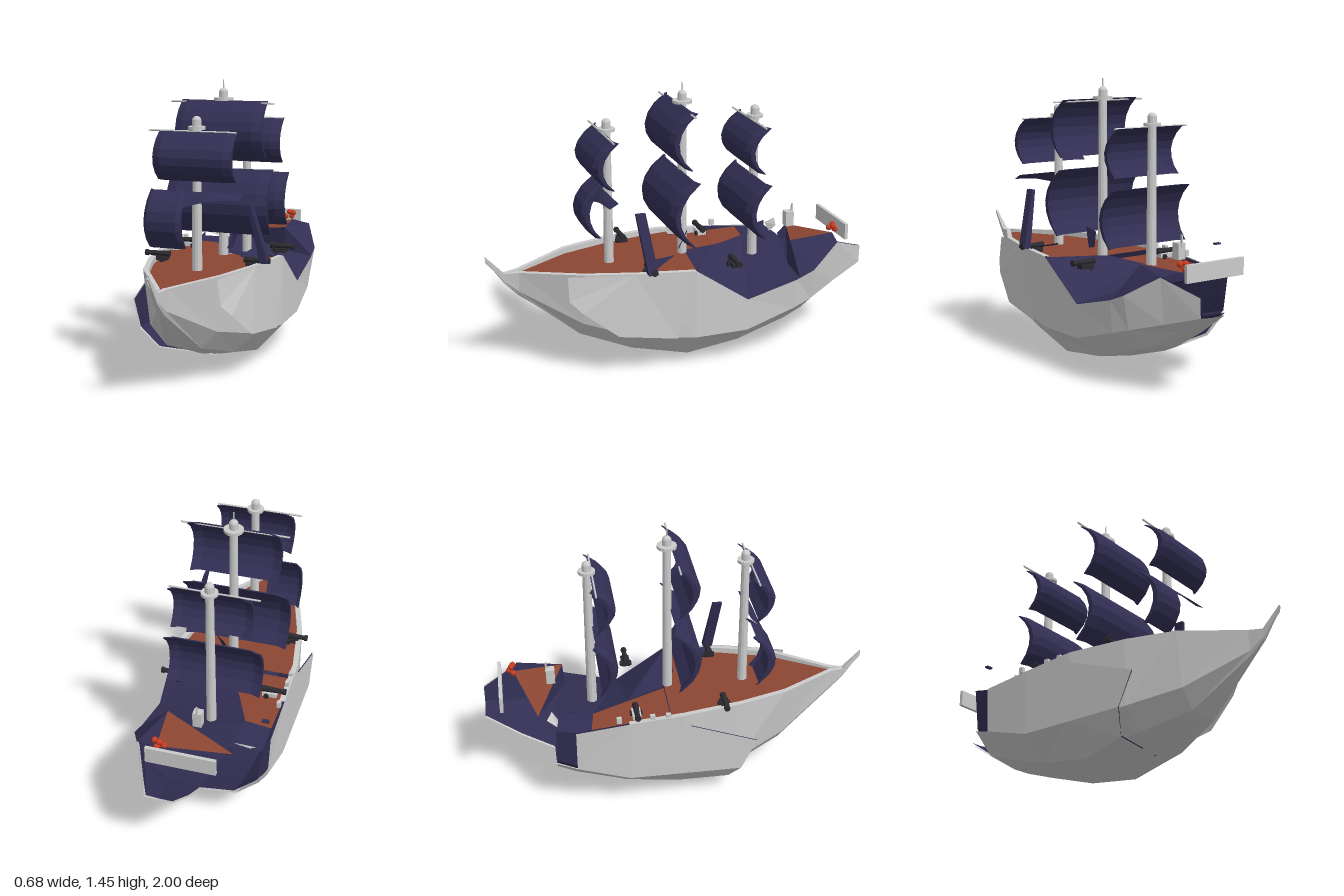
import * as THREE from 'three';

const mat = (color) => new THREE.MeshStandardMaterial({ color, flatShading: true, side: THREE.DoubleSide });
const GREY = mat(0xcccccc), NAVY = mat(0x322f54), WOOD = mat(0x8c4632), RED = mat(0xc83c20), IRON = mat(0x2a2a30);

function add(parent, name, geo, material, x = 0, y = 0, z = 0) {
  const m = new THREE.Mesh(geo, material);
  m.name = name;
  m.position.set(x, y, z);
  parent.add(m);
  return m;
}

// Skin a list of equal-length cross-sections
function loft(sections) {
  const n = sections[0].length, index = [];
  for (let i = 0; i < sections.length - 1; i++)
    for (let j = 0; j < n - 1; j++) {
      const a = i * n + j, b = a + n;
      index.push(a, b, a + 1, b, b + 1, a + 1);
    }
  const g = new THREE.BufferGeometry();
  g.setAttribute('position', new THREE.Float32BufferAttribute(sections.flat(2), 3));
  g.setIndex(index);
  g.computeVertexNormals();
  return g;
}

// Flat fan through a few corner points
function panel(points) {
  const g = new THREE.BufferGeometry(), index = [];
  g.setAttribute('position', new THREE.Float32BufferAttribute(points.flat(), 3));
  for (let i = 1; i < points.length - 1; i++) index.push(0, i, i + 1);
  g.setIndex(index);
  g.computeVertexNormals();
  return g;
}

// Hull stations: z, keel y, bilge x y, chine x y, top x, left top y, right top y
const STATIONS = [
  [1.0, 0.62, 0.005, 0.622, 0.006, 0.625, 0.006, 0.64, 0.64],
  [0.91, 0.485, 0.01, 0.49, 0.012, 0.5, 0.014, 0.54, 0.54],
  [0.84, 0.41, 0.015, 0.42, 0.024, 0.44, 0.033, 0.545, 0.545],
  [0.55, 0.18, 0.09, 0.19, 0.17, 0.28, 0.21, 0.56, 0.56],
  [0.3, 0.085, 0.18, 0.11, 0.28, 0.215, 0.285, 0.56, 0.56],
  [0.0, 0.0, 0.2, 0.04, 0.337, 0.19, 0.337, 0.555, 0.555],
  [-0.28, 0.045, 0.2, 0.075, 0.337, 0.19, 0.337, 0.36, 0.53],
  [-0.55, 0.13, 0.2, 0.16, 0.325, 0.27, 0.337, 0.43, 0.5],
  [-0.65, 0.175, 0.19, 0.2, 0.305, 0.3, 0.335, 0.47, 0.52],
  [-0.82, 0.28, 0.13, 0.3, 0.23, 0.35, 0.255, 0.575, 0.575],
  [-1.0, 0.4, 0.1, 0.4, 0.165, 0.405, 0.17, 0.5, 0.5],
];
const topY = (s, side) => (side > 0 ? s[7] : s[8]);

// One side of the hull skin, moved inward by d
function skin(side, stations, d = 0) {
  return loft(stations.map((s) => [
    [s[0] < -0.9 ? 0.02 : 0, s[1] + d, s[0]], [side * (s[2] - d), s[3] + d, s[0]],
    [side * (s[4] - d), s[5] + d, s[0]], [side * (s[6] - d), topY(s, side), s[0]],
  ]));
}

function rail(side, stations) {
  return loft(stations.map((s) => {
    const w = Math.min(0.028, s[6] * 0.9), y = topY(s, side);
    return [[side * s[6], y, s[0]], [side * (s[6] - w), y, s[0]], [side * (s[6] - w), y - 0.035, s[0]]];
  }));
}

// Midship planks sprung away from the narrower bow, moved inward by d
function sprungPlanks(d) {
  return loft([
    [[-0.337 + d, 0.36, 0.38], [-0.337 + d, 0.19 + d, 0.3], [-0.25, 0.08 + d, 0.25], [0.05, 0.066 + d, 0.24]],
    [[-0.337 + d, 0.5, 0.0], [-0.337 + d, 0.19 + d, 0.0], [-0.2, 0.04 + d, 0.0], [0, d, 0.0]],
  ]);
}

// Billowed sail: a curved strip of cloth in z and y, extruded across x
function sail(parent, name, x0, x1, yTop, yBottom, z, bulge) {
  const shape = new THREE.Shape(), steps = 6, pts = [];
  const arc = (k, t) => [Math.sin(Math.PI * t) ** 0.8 * k + t * 0.025, yTop + (yBottom - yTop) * t];
  for (let i = 0; i <= steps; i++) pts.push(arc(bulge, i / steps));
  for (let i = steps; i >= 0; i--) {
    const [a, b] = arc(bulge - 0.015, i / steps);
    pts.push([a - 0.01, b]);
  }
  pts.forEach(([a, b], i) => (i ? shape.lineTo(-a, b) : shape.moveTo(-a, b)));
  const g = new THREE.ExtrudeGeometry(shape, { depth: x1 - x0, steps: 10, bevelEnabled: false });
  // Pull both side edges back toward the mast
  const p = g.attributes.position, half = (x1 - x0) / 2;
  for (let i = 0; i < p.count; i++) {
    const u = Math.abs(p.getZ(i) - half) / half;
    if (u > 0.9) p.setX(i, p.getX(i) + 0.018);
  }
  g.rotateY(Math.PI / 2);
  g.computeVertexNormals();
  add(parent, name, g, NAVY, x0, 0, z);
}

function mast(parent, name, z, base, top, discRadius, spike) {
  const g = new THREE.Group();
  g.name = name;
  parent.add(g);
  add(g, 'pole', new THREE.CylinderGeometry(0.021, 0.026, top - base, 12), GREY, 0, (top + base) / 2, z);
  add(g, 'capDisc', new THREE.CylinderGeometry(discRadius, discRadius, 0.015, 16), GREY, 0, top, z);
  add(g, 'capPost', new THREE.CylinderGeometry(0.023, 0.023, 0.035, 12), GREY, 0, top + 0.022, z);
  add(g, 'capDome', new THREE.SphereGeometry(0.023, 12, 6, 0, Math.PI * 2, 0, Math.PI / 2), GREY, 0, top + 0.035, z);
  if (spike) add(g, 'spike', new THREE.CylinderGeometry(0.003, 0.004, 0.06, 6), GREY, 0, top + 0.07, z);
  return g;
}

function yard(parent, x0, x1, y, z) {
  const geo = new THREE.CylinderGeometry(0.005, 0.005, x1 - x0, 6).rotateZ(Math.PI / 2);
  add(parent, 'yard', geo, GREY, (x0 + x1) / 2, y, z);
}

function cannon(parent, side, z, y, carriage) {
  const g = new THREE.Group();
  g.name = 'cannon';
  g.position.set(side * 0.265, y, z);
  parent.add(g);
  add(g, 'barrel', new THREE.CylinderGeometry(0.011, 0.017, 0.13, 8).rotateZ(-side * Math.PI / 2), IRON);
  add(g, 'muzzle', new THREE.CylinderGeometry(0.016, 0.016, 0.015, 8).rotateZ(Math.PI / 2), IRON, side * 0.06);
  add(g, 'carriage', new THREE.BoxGeometry(0.075, 0.022, 0.045), carriage, -side * 0.015, -0.022);
  for (const dz of [-0.027, 0.027])
    add(g, 'wheel', new THREE.CylinderGeometry(0.014, 0.014, 0.008, 8).rotateX(Math.PI / 2), IRON, -side * 0.03, -0.027, dz);
}

export function createModel() {
  const ship = new THREE.Group();
  ship.name = 'sailingShip';

  // Hull: whole on one side, broken away at the stern on the other
  add(ship, 'leftPlanking', skin(1, STATIONS), GREY);
  add(ship, 'rightPlanking', skin(-1, STATIONS.slice(0, 8)), GREY);
  add(ship, 'rightBottom', loft(STATIONS.slice(7, 9).map((s) => [[0, s[1], s[0]], [-s[2], s[3], s[0]], [-s[4], s[5], s[0]]])), GREY);
  add(ship, 'leftLining', skin(1, STATIONS.slice(2), 0.012), NAVY);
  add(ship, 'rightLining', skin(-1, STATIONS.slice(2, 9), 0.012), NAVY);
  add(ship, 'leftRail', rail(1, STATIONS.slice(0, 6)), GREY);
  add(ship, 'rightRail', rail(-1, STATIONS.slice(0, 7)), GREY);

  // Planks sprung loose on both sides of the bow
  add(ship, 'sprungPlanks', sprungPlanks(0), GREY);
  add(ship, 'sprungPlanksLining', sprungPlanks(0.006), NAVY);
  add(ship, 'loosePlank', panel([[0.29, 0.558, 0.31], [0.2, 0.555, 0.63], [0.215, 0.43, 0.63], [0.25, 0.37, 0.57],
    [0.3, 0.24, 0.4], [0.338, 0.2, 0.1], [0.338, 0.55, 0.05]]), GREY);

  // Decks, the aft one sagging down to the broken side
  const deck = (y, pts) => panel(pts.map(([x, z]) => [x, y, z]));
  add(ship, 'foreDeck', deck(0.53, [[0, 0.3], [0.025, 0.83], [0.2, 0.53], [0.275, 0.3], [0.31, 0], [0.26, -0.06],
    [0, -0.06], [-0.31, -0.06], [-0.275, 0.3], [-0.2, 0.53], [-0.025, 0.83], [0.025, 0.83]]), WOOD);
  add(ship, 'sideDeck', deck(0.505, [[0, -0.06], [-0.18, -0.45], [-0.32, -0.47], [-0.32, -0.06]]), WOOD);
  add(ship, 'aftDeck', loft([
    [[-0.02, 0.53, -0.06], [0.337, 0.55, 0]],
    [[-0.09, 0.51, -0.26], [0.337, 0.36, -0.28]],
    [[-0.18, 0.5, -0.45], [0.337, 0.43, -0.55]],
    [[-0.15, 0.5, -0.65], [0.335, 0.47, -0.65]],
  ]), NAVY);
  add(ship, 'aftDeckCorner', deck(0.5, [[-0.18, -0.45], [-0.32, -0.47], [-0.32, -0.64], [-0.15, -0.65]]), NAVY);

  // Broken quarterdeck
  add(ship, 'quarterDeck', panel([[-0.2, 0.53, -0.73], [0.15, 0.59, -0.84], [0.18, 0.59, -0.58]]), WOOD);
  add(ship, 'quarterDeckFront', panel([[-0.2, 0.53, -0.73], [0.18, 0.59, -0.58], [0.18, 0.46, -0.57], [-0.18, 0.49, -0.67]]), NAVY);
  add(ship, 'quarterDeckSide', panel([[0.18, 0.59, -0.58], [0.15, 0.59, -0.84], [0.255, 0.575, -0.82],
    [0.335, 0.47, -0.65], [0.337, 0.44, -0.57], [0.18, 0.46, -0.57]]), NAVY);
  add(ship, 'sternBoard', new THREE.BoxGeometry(0.35, 0.085, 0.018), GREY, 0.005, 0.595, -0.91);
  add(ship, 'sternPost', new THREE.BoxGeometry(0.045, 0.08, 0.045), GREY, 0, 0.645, -0.65);
  add(ship, 'sternPin', new THREE.BoxGeometry(0.008, 0.06, 0.01), GREY, 0, 0.695, -0.67);
  add(ship, 'sternShard', panel([[-0.29, 0.52, -0.64], [-0.27, 0.55, -0.69], [-0.18, 0.54, -0.66], [-0.2, 0.5, -0.63]]), GREY);
  for (const [x, y, z] of [[0.11, 0.605, -0.84], [0.14, 0.605, -0.86], [0.13, 0.63, -0.85], [0.155, 0.628, -0.84]])
    add(ship, 'lanternBall', new THREE.IcosahedronGeometry(0.016, 1), RED, x, y, z);

  // Masts and yards
  const fore = mast(ship, 'foreMast', 0.36, 0.53, 1.235, 0.043, false);
  const main = mast(ship, 'mainMast', -0.04, 0.53, 1.345, 0.05, true);
  const aft = mast(ship, 'aftMast', -0.44, 0.47, 1.235, 0.043, false);
  yard(fore, -0.24, 0.21, 1.22, 0.385);
  yard(main, -0.275, 0.28, 1.33, -0.01);
  yard(aft, -0.24, 0.21, 1.22, -0.415);

  // Sails; the lower fore sail is torn, with one end and a top strip left
  for (const [g, z] of [[fore, 0.385], [aft, -0.415]]) sail(g, 'upperSail', -0.19, 0.21, 1.22, 0.98, z, 0.088);
  sail(aft, 'lowerSail', -0.24, 0.24, 0.925, 0.64, -0.415, 0.088);
  sail(fore, 'tornLowerSail', -0.24, -0.05, 0.925, 0.64, 0.385, 0.088);
  add(fore, 'tornSailStrip', panel([[-0.05, 0.925, 0.385], [0.24, 0.925, 0.375], [0.24, 0.9, 0.42],
    [0.1, 0.89, 0.43], [0.01, 0.87, 0.44], [-0.05, 0.85, 0.455]]), NAVY);
  sail(main, 'upperSail', -0.22, 0.24, 1.34, 1.05, -0.01, 0.1);
  sail(main, 'lowerSail', -0.27, 0.27, 0.99, 0.655, -0.015, 0.11);

  // Fallen plates on the deck
  const slab = new THREE.Group();
  slab.name = 'fallenPlate';
  ship.add(slab);
  const slabRow = (y, x0, x1, z0, z1) => [[x0, y, z0], [x1, y, z0], [x1, y, z1], [x0, y, z1], [x0, y, z0]];
  add(slab, 'plate', loft([slabRow(0.56, 0.29, 0.33, 0.2, 0.25), slabRow(0.86, 0.232, 0.25, 0.24, 0.29)]), NAVY);
  add(slab, 'plateTop', panel(slabRow(0.86, 0.232, 0.25, 0.24, 0.29).slice(0, 4)), NAVY);
  add(ship, 'deckShard', panel([[0.29, 0.56, 0.22], [0.2, 0.6, 0.07], [0.15, 0.57, 0.16]]), NAVY);
  add(ship, 'mastShard', panel([[0.06, 0.57, 0], [0.1, 0.69, -0.03], [0.05, 0.66, -0.05], [0.03, 0.57, -0.01]]), NAVY);
  add(ship, 'looseChip', new THREE.BoxGeometry(0.035, 0.008, 0.02), NAVY, -0.315, 0.634, -0.57);
  for (const z of [-0.08, -0.16, -0.33]) add(ship, 'railPost', new THREE.BoxGeometry(0.02, 0.03, 0.025), GREY, -0.32, 0.55, z);

  // Cannons
  for (const side of [1, -1]) {
    cannon(ship, side, 0.22, 0.57, IRON);
    cannon(ship, side, -0.235, 0.555, side > 0 ? IRON : GREY);
  }
  return ship;
}
